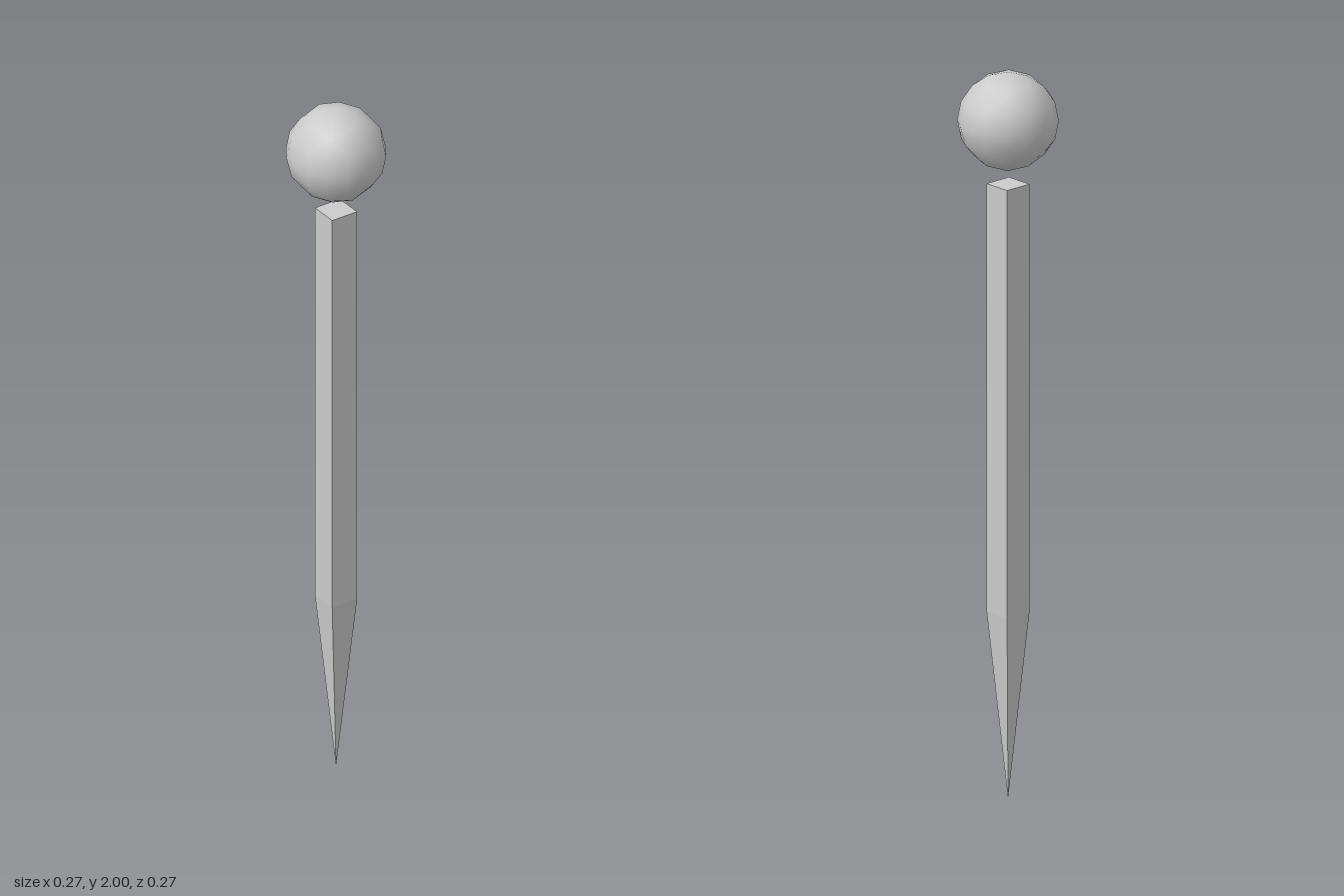
import * as THREE from 'three';

// Ball made by halving the edges of an octahedron and pushing midpoints onto the sphere
function octaSphere(radius, levels) {
  const positions = [], normals = [];
  const mid = (a, b) => a.clone().add(b).normalize();
  const split = (a, b, c, level) => {
    if (level === 0) {
      for (const v of [a, b, c]) {
        normals.push(v.x, v.y, v.z);
        positions.push(v.x * radius, v.y * radius, v.z * radius);
      }
      return;
    }
    const ab = mid(a, b), bc = mid(b, c), ca = mid(c, a);
    split(a, ab, ca, level - 1);
    split(ab, b, bc, level - 1);
    split(ca, bc, c, level - 1);
    split(ab, bc, ca, level - 1);
  };
  for (const x of [1, -1]) for (const y of [1, -1]) for (const z of [1, -1]) {
    const a = new THREE.Vector3(x, 0, 0), b = new THREE.Vector3(0, y, 0), c = new THREE.Vector3(0, 0, z);
    // Mirrored octants swap two corners to keep facing outward
    if (x * y * z > 0) split(a, b, c, levels);
    else split(a, c, b, levels);
  }
  const geometry = new THREE.BufferGeometry();
  geometry.setAttribute('position', new THREE.Float32BufferAttribute(positions, 3));
  geometry.setAttribute('normal', new THREE.Float32BufferAttribute(normals, 3));
  return geometry;
}

export function createModel() {
  const group = new THREE.Group();

  // Square stake, corners on the axes, tapering to a point
  const profile = [[0, 0], [0.056, 0.515], [0.056, 1.692], [0, 1.692]];
  const stake = new THREE.Mesh(
    new THREE.LatheGeometry(profile.map(([r, y]) => new THREE.Vector2(r, y)), 4),
    new THREE.MeshStandardMaterial({ color: 0xcccccc, flatShading: true })
  );
  stake.name = 'stake';
  group.add(stake);

  // Ball floating above the stake
  const radius = 0.133;
  const ball = new THREE.Mesh(
    octaSphere(radius, 2),
    new THREE.MeshStandardMaterial({ color: 0xcccccc })
  );
  ball.position.y = 2 - radius;
  ball.name = 'ball';
  group.add(ball);

  return group;
}
